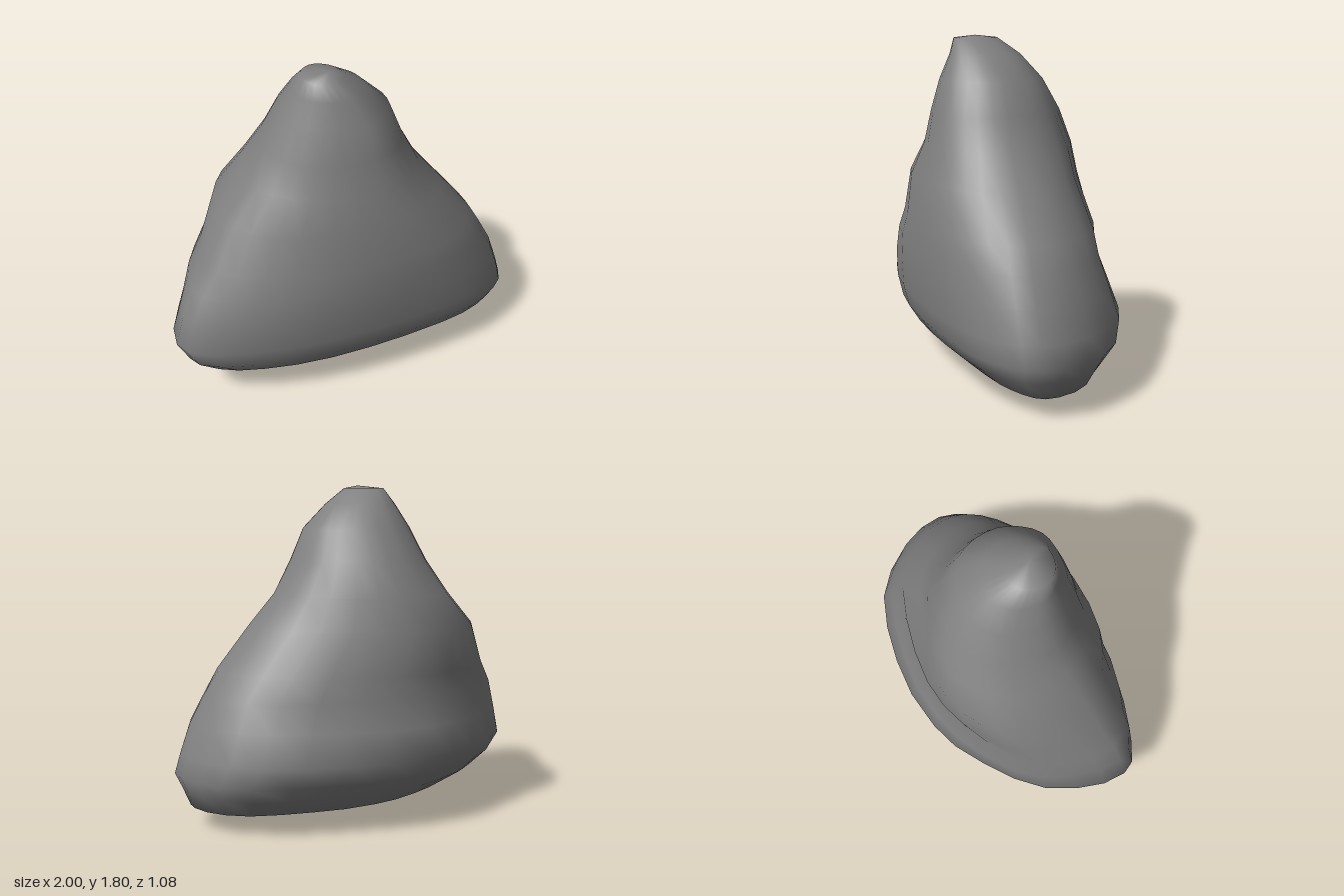
import * as THREE from 'three';

// Horizontal slices of the boulder: y, xMin, xMax, zBack, zFront, z of the side ridge
const SLICES = [
  [0.04, -0.42, 0.50, -0.10, 0.25, 0.10],
  [0.11, -0.64, 0.93, -0.30, 0.36, 0.16],
  [0.20, -0.83, 0.96, -0.41, 0.46, 0.18],
  [0.28, -0.94, 1.00, -0.47, 0.51, 0.17],
  [0.39, -1.00, 0.97, -0.54, 0.53, 0.15],
  [0.55, -0.95, 0.91, -0.51, 0.54, 0.14],
  [0.70, -0.88, 0.83, -0.46, 0.54, 0.13],
  [0.82, -0.78, 0.76, -0.48, 0.53, 0.11],
  [1.05, -0.66, 0.57, -0.47, 0.50, 0.08],
  [1.22, -0.51, 0.43, -0.41, 0.44, 0.07],
  [1.40, -0.41, 0.33, -0.32, 0.41, 0.06],
  [1.57, -0.33, 0.26, -0.22, 0.36, 0.07],
  [1.70, -0.26, 0.12, -0.11, 0.29, 0.10],
  [1.785, -0.22, -0.01, 0.00, 0.25, 0.13],
];
const SIDES = 28;

// Point on a rounded outline whose corners differ in squareness
function outlinePoint([y, x0, x1, zb, zf, zr], angle) {
  const c = Math.cos(angle), s = Math.sin(angle);
  const front = s > 0, plusX = c > 0;
  const shoulder = Math.exp(-(((y - 1) / 0.3) ** 2)); // back bulge at mid height
  let n;
  if (front) n = plusX ? 2.9 - 0.6 * y : 1.9;
  else n = plusX ? 2 - 0.35 * shoulder : 1.8 + 0.4 * shoulder;
  const u = Math.sign(c) * Math.abs(c) ** (2 / n);
  const v = Math.sign(s) * Math.abs(s) ** (2 / n);

  // The front is deepest towards +x, the back towards -x
  const half = (x1 - x0) / 2;
  const peak = (x0 + x1) / 2 + half * (front ? 0.2 : -0.08 - 0.12 * shoulder);

  // Gentle lumps, strongest on the back and fading at the outermost points
  const lump = 1 + (front ? 0.015 : 0.03) * Math.abs(Math.sin(2 * angle)) *
    Math.sin(5 * angle + 6 * y) * Math.cos(7 * y - 2 * angle);
  return [
    peak + u * (plusX ? x1 - peak : peak - x0) * lump,
    y,
    zr + v * (front ? zf - zr : zr - zb) * lump,
  ];
}

function boulderGeometry() {
  const points = [], faces = [];
  for (const slice of SLICES) {
    for (let i = 0; i < SIDES; i++) points.push(...outlinePoint(slice, i / SIDES * Math.PI * 2));
  }
  // Lowest and highest points close the two ends
  const bottom = SLICES.length * SIDES, top = bottom + 1;
  points.push(-0.28, 0, 0.1, -0.08, 1.8, 0.14);
  const last = (SLICES.length - 1) * SIDES;
  for (let i = 0; i < SIDES; i++) {
    const k = (i + 1) % SIDES;
    for (let r = 0; r < last; r += SIDES) {
      const a = r + i, b = r + k, c = b + SIDES, d = a + SIDES;
      faces.push(a, d, c, a, c, b);
    }
    faces.push(bottom, i, k, last + i, top, last + k);
  }
  const geometry = new THREE.BufferGeometry();
  geometry.setAttribute('position', new THREE.Float32BufferAttribute(points, 3));
  geometry.setIndex(faces);
  geometry.computeVertexNormals();
  return geometry;
}

export function createModel() {
  const model = new THREE.Group();
  model.name = 'rock';
  const boulder = new THREE.Mesh(boulderGeometry(), new THREE.MeshStandardMaterial({ color: 0x808080 }));
  boulder.name = 'boulder';
  model.add(boulder);
  return model;
}
